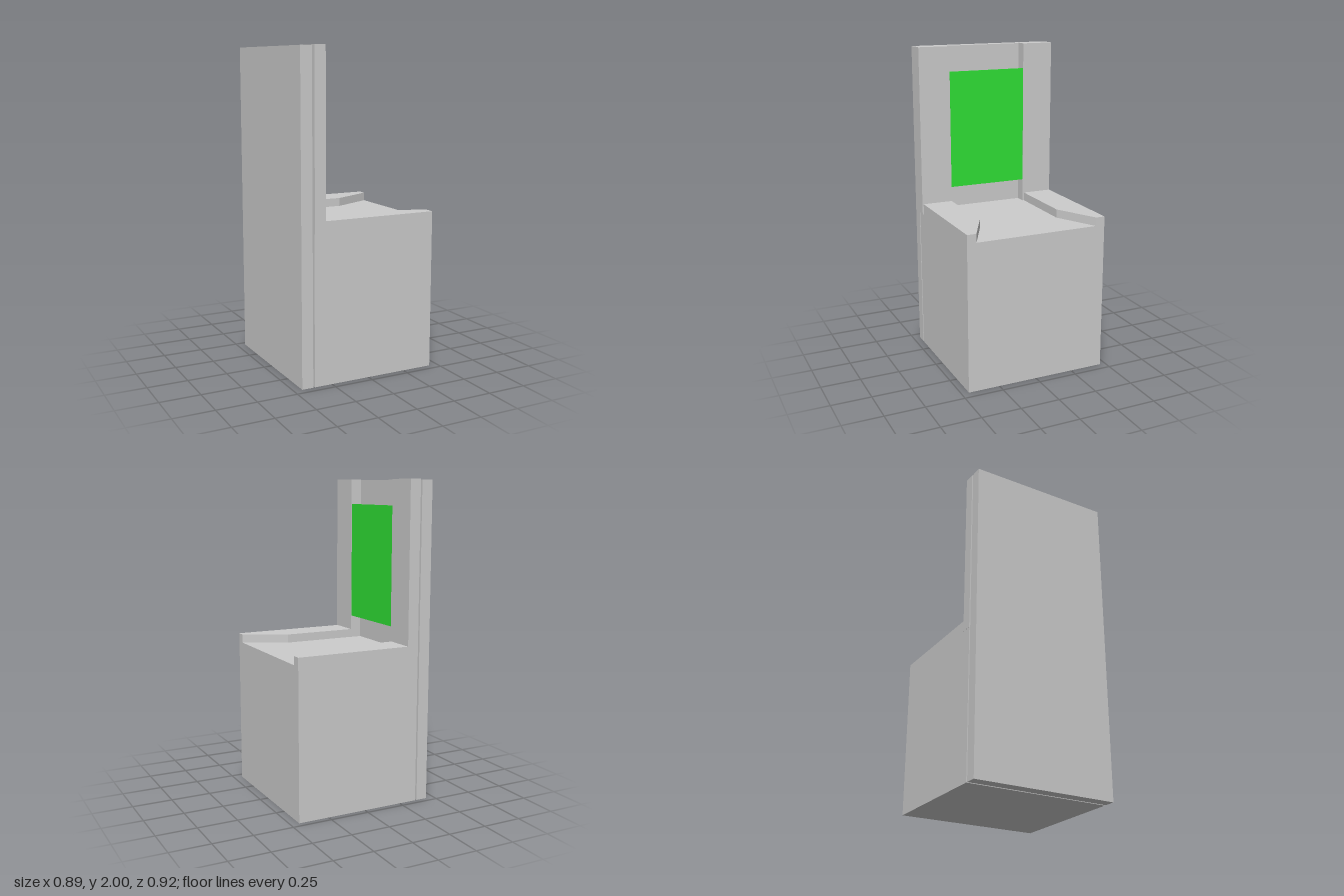
import * as THREE from 'three';

const grey = new THREE.MeshStandardMaterial({ color: 0xcccccc, flatShading: true });
const green = new THREE.MeshStandardMaterial({ color: 0x2fe035 });

export function createModel() {
  const model = new THREE.Group();

  const add = (name, geometry, material = grey) => {
    const mesh = new THREE.Mesh(geometry, material);
    mesh.name = name;
    model.add(mesh);
    return mesh;
  };

  // Box given by its limits on each axis
  const box = (name, [x0, x1], [y0, y1], [z0, z1], material) =>
    add(name, new THREE.BoxGeometry(x1 - x0, y1 - y0, z1 - z0), material)
      .position.set((x0 + x1) / 2, (y0 + y1) / 2, (z0 + z1) / 2);

  // Tall back slab, separated from the rest by a narrow slot
  box('backSlab', [-0.447, -0.375], [0, 1.996], [-0.463, 0.453]);

  // Solid seat block up to the sunken seat surface
  box('seatBlock', [-0.364, 0.445], [0, 0.942], [-0.463, 0.453]);

  // Raised seat rims that flare outward towards the open edge
  const rim = (name, outer, inner, flare) => {
    let outline = [[-0.3, outer], [0.445, outer], [0.445, flare], [0.18, inner], [-0.3, inner]]
      .map(([x, z]) => new THREE.Vector2(x, -z));
    const geometry = new THREE.ExtrudeGeometry(new THREE.Shape(outline), { depth: 0.054, bevelEnabled: false });
    geometry.rotateX(-Math.PI / 2);
    add(name, geometry).position.y = 0.942;
  };
  rim('leftRim', 0.453, 0.259, 0.394);
  rim('rightRim', -0.463, -0.27, -0.404);

  // Upright side panels in front of the slab
  box('leftUpright', [-0.364, -0.293], [0.927, 2], [0.257, 0.461]);
  box('rightUpright', [-0.364, -0.293], [0.927, 2], [-0.464, -0.26]);

  // Thin coloured back panel
  box('backPanel', [-0.302, -0.295], [1.09, 1.84], [-0.26, 0.256], green);

  // Sheared grid of small pegs joining the coloured panel to the slab
  const pegGeometry = new THREE.CylinderGeometry(0.01, 0.01, 0.076, 8);
  pegGeometry.rotateZ(Math.PI / 2);
  for (let row = 0; row < 6; row++) {
    for (let col = 0; col < 6; col++) {
      add('peg', pegGeometry).position.set(-0.338, 1.285 + row * 0.081, -0.235 + col * 0.0815 + row * 0.01);
    }
  }

  return model;
}
